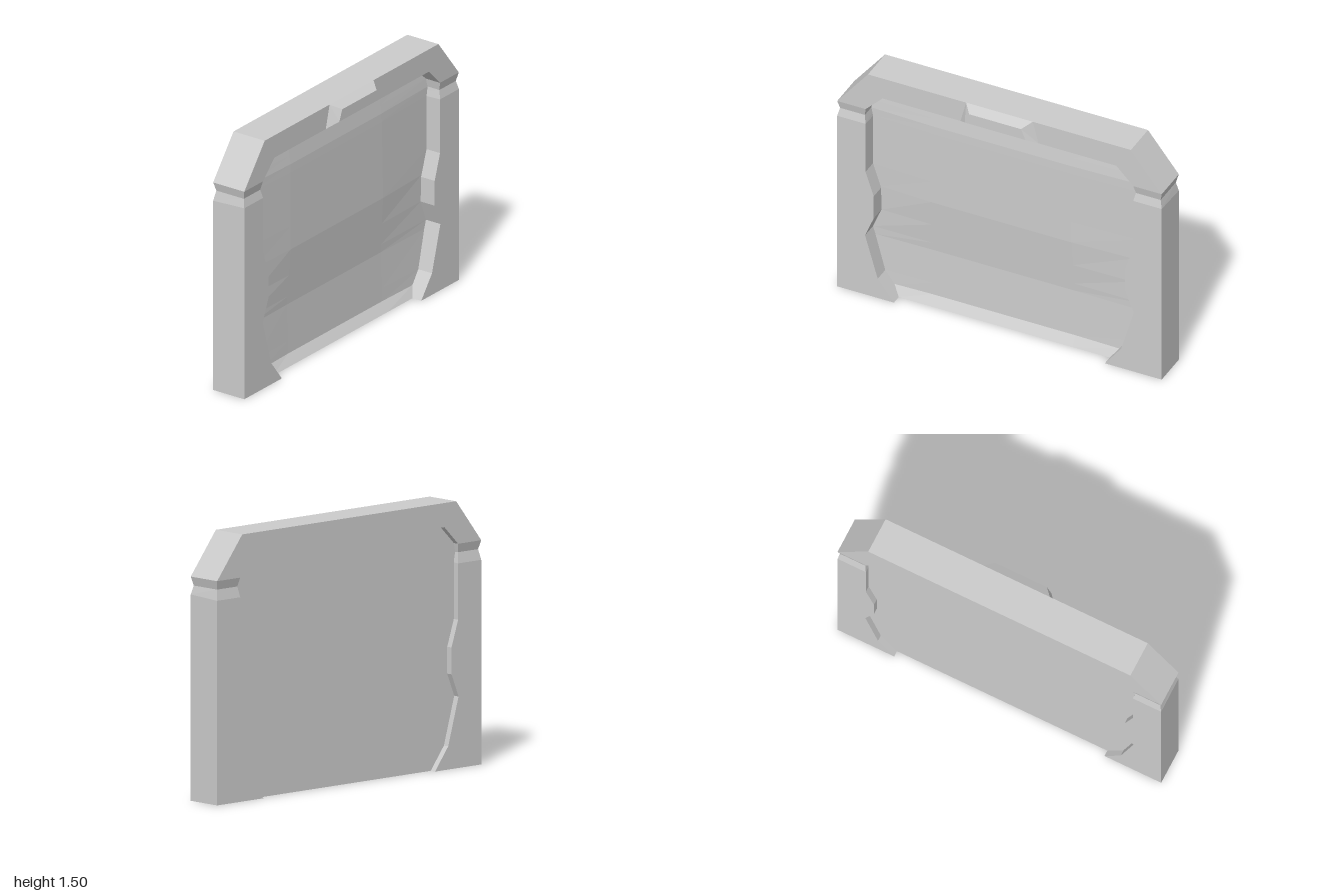
import * as THREE from 'three';

const FRONT = 0.08, BACK = -0.133;

// Loft through matching rings (counter-clockwise seen from ahead), capped at both ends, faceted.
function loft(name, rings) {
  const pos = [];
  const tri = (a, b, c) => pos.push(...a, ...b, ...c);
  const n = rings[0].length;
  for (let s = 0; s < rings.length - 1; s++) {
    const r = rings[s], q = rings[s + 1];
    for (let i = 0; i < n; i++) {
      const j = (i + 1) % n;
      tri(r[i], r[j], q[j]);
      tri(r[i], q[j], q[i]);
    }
  }
  const first = rings[0], last = rings[rings.length - 1];
  for (let i = 1; i < n - 1; i++) {
    tri(first[0], first[i + 1], first[i]);
    tri(last[0], last[i], last[i + 1]);
  }
  const geo = new THREE.BufferGeometry();
  geo.setAttribute('position', new THREE.Float32BufferAttribute(pos, 3));
  geo.computeVertexNormals();
  const mesh = new THREE.Mesh(geo, new THREE.MeshStandardMaterial({ color: 0xcccccc, flatShading: true }));
  mesh.name = name;
  return mesh;
}

// Piecewise-linear lookup in [key, value] pairs
function lerpTable(table, k) {
  for (let i = 1; i < table.length; i++) {
    const [k0, v0] = table[i - 1], [k1, v1] = table[i];
    if (k <= k1) return v0 + (v1 - v0) * (k - k0) / (k1 - k0);
  }
  return table[table.length - 1][1];
}

// Inner outline of one leg: [y, x]
const INNER = [[0, 0.65], [0.13, 0.75], [0.4, 0.828], [0.53, 0.775], [0.68, 0.775],
  [0.83, 0.825], [1.155, 0.825], [1.205, 0.835], [1.255, 0.825], [1.36, 0.72]];

// Arch-shaped frame: up the +x leg, across the lintel, down the other leg
function createFrame() {
  const half = INNER.map(([y, x]) => {
    const groove = y === 1.205, corner = y === 1.36;
    const ox = corner ? 0.81 : groove ? 0.988 : 1;
    const oy = corner ? 1.495 : y;
    const zf = groove ? FRONT - 0.012 : FRONT;
    const zb = groove ? BACK + 0.013 : BACK;
    const drop = y === 1.155 ? 0.01 : 0; // the groove is a little taller at the back
    return [[x, y, zf], [ox, oy, zf], [ox, oy - drop, zb], [x, y - drop, zb]];
  });
  const mirrored = half.map(r => r.map(([x, y, z]) => [-x, y, z])).reverse();
  return loft('frame', [...half, ...mirrored]);
}

// Recessed panel with a gently faceted front and a flat back
function createPanel() {
  const middle = [[0, 0.02], [0.055, -0.018], [0.35, -0.025], [0.69, 0], [1.2, 0], [1.36, -0.02]];
  const edge = [[0, 0.02], [0.055, -0.012], [0.35, -0.02], [0.69, -0.013], [1.2, -0.012], [1.36, -0.03]];
  const rows = [0, 0.055, 0.13, 0.35, 0.4, 0.53, 0.69, 0.83, 1.155, 1.205, 1.255, 1.36];
  return loft('panel', rows.map(y => {
    const w = lerpTable(INNER, y), zm = lerpTable(middle, y), ze = lerpTable(edge, y);
    const right = 0.42 - 0.025 * y;
    return [[-w, y, ze], [-0.46, y, zm], [right, y, zm], [w, y, ze], [w, y, -0.098], [-w, y, -0.098]];
  }));
}

// Bevelled block at the top centre of the lintel
function createTopBlock() {
  const ring = (bottom, y0, top, y1, z) => [[-bottom, y0, z], [bottom, y0, z], [top, y1, z], [-top, y1, z]];
  return loft('topBlock', [
    ring(0.24, 1.36, 0.205, 1.495, FRONT),
    ring(0.187, 1.4, 0.16, 1.465, 0.134),
  ]);
}

export function createModel() {
  const group = new THREE.Group();
  group.name = 'framedPanel';
  group.add(createFrame(), createPanel(), createTopBlock());
  return group;
}
